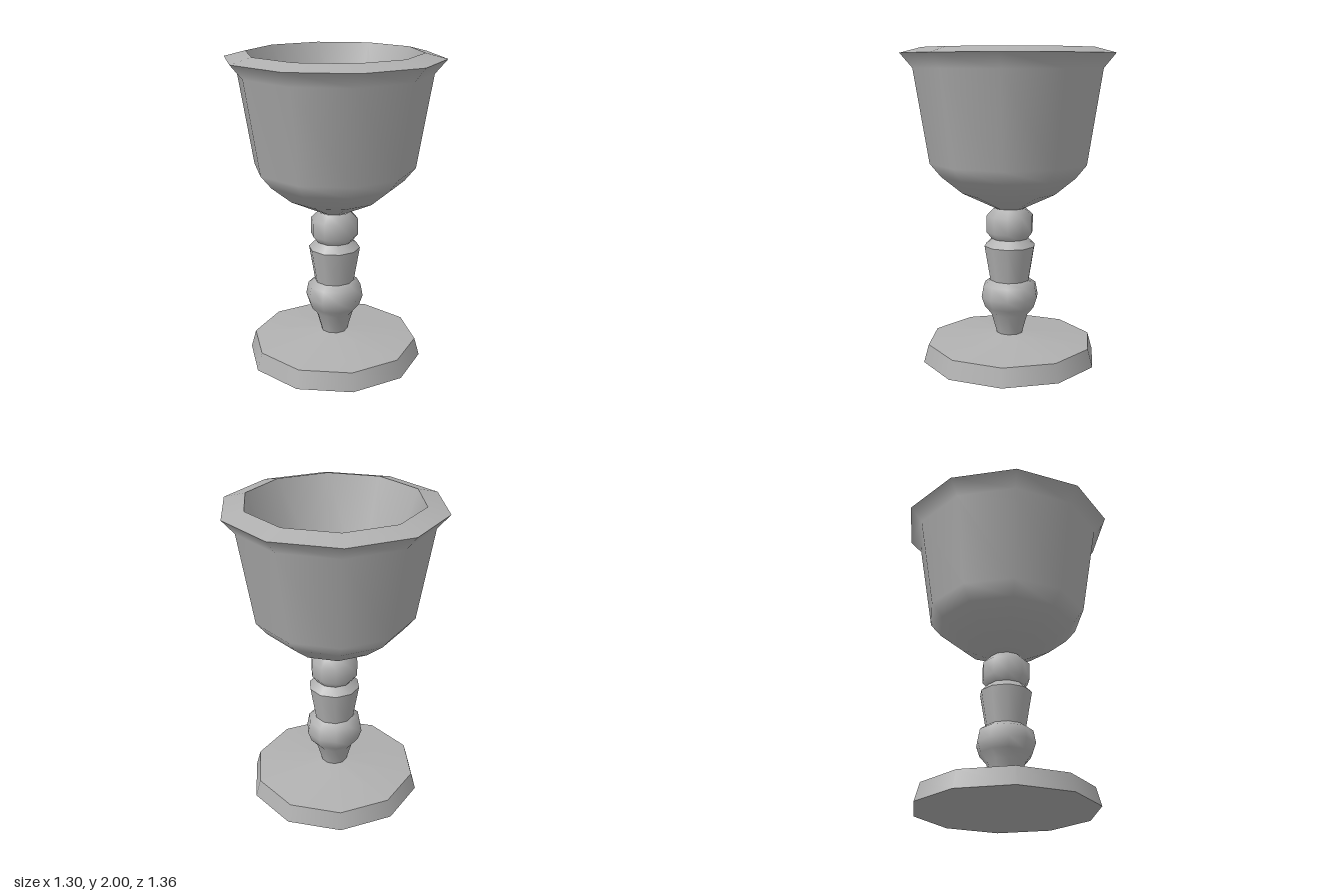
import * as THREE from 'three';

const SIDES = 10;

export function createModel() {
  const goblet = new THREE.Group();
  goblet.name = 'goblet';
  const metal = new THREE.MeshStandardMaterial({ color: 0xb0b0b0 });
  metal.name = 'grey metal';

  // Each part is made of smooth ten-sided bands; edges between bands stay sharp.
  function turned(name, bands) {
    const part = new THREE.Group();
    part.name = name;
    bands.forEach((band, i) => {
      const points = band.map(([r, y]) => new THREE.Vector2(r, y));
      const mesh = new THREE.Mesh(new THREE.LatheGeometry(points, SIDES), metal);
      mesh.name = `${name}Band${i + 1}`;
      part.add(mesh);
    });
    goblet.add(part);
  }

  // Foot: underside, leaning side, shallow cone on top
  turned('foot', [
    [[0, 0.005], [0.567, 0.005]],
    [[0.567, 0.005], [0.535, 0.12]],
    [[0.535, 0.12], [0.085, 0.172]],
  ]);

  // Stem: bulb, flared collar, bead under the cup
  turned('stemBulb', [
    [[0.085, 0.17], [0.122, 0.3], [0.165, 0.35], [0.187, 0.415], [0.172, 0.495], [0.128, 0.525]],
  ]);
  turned('stemCollar', [
    [[0.128, 0.525], [0.166, 0.75]],
    [[0.166, 0.75], [0.118, 0.797]],
  ]);
  turned('stemBead', [
    [[0.118, 0.797], [0.152, 0.84], [0.152, 0.945], [0.1, 0.995]],
  ]);

  // Cup: rounded outside, sloping rim, tapered inside, flat floor
  turned('cup', [
    [[0, 0.985], [0.085, 0.99], [0.305, 1.095], [0.44, 1.205], [0.51, 1.29], [0.605, 1.875], [0.682, 1.965]],
    [[0.682, 1.965], [0.546, 2]],
    [[0.546, 2], [0.322, 1.25]],
    [[0.322, 1.25], [0, 1.25]],
  ]);

  return goblet;
}
